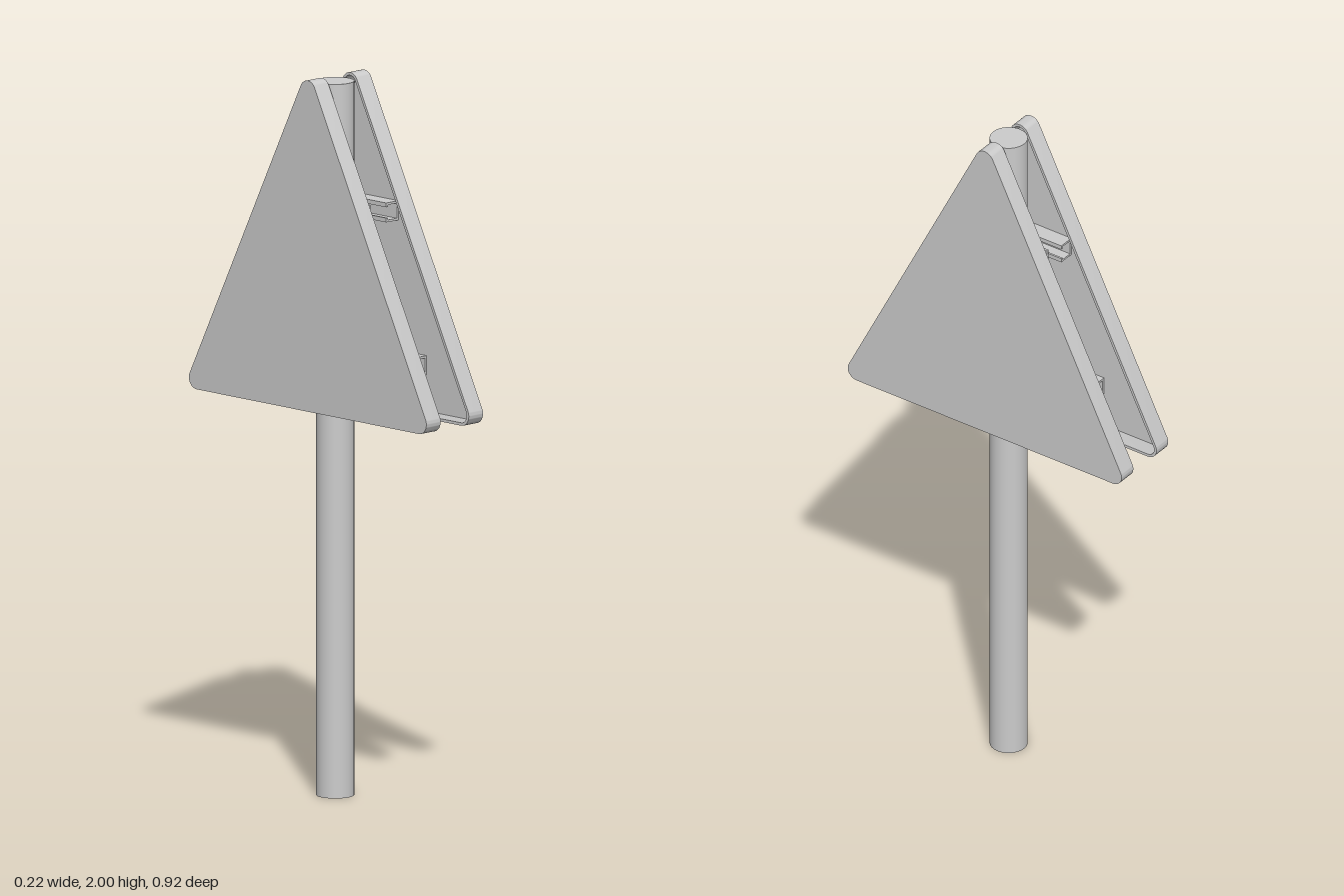
import * as THREE from 'three';
import { toCreasedNormals } from 'three/addons/utils/BufferGeometryUtils.js';

const material = new THREE.MeshStandardMaterial({ color: 0xcccccc, side: THREE.DoubleSide });
const INNER = 0.054, OUTER = 0.1085, WALL = 0.008;
const POLE_X = -0.003;
const BRACKET_LEVELS = [{ y: 1.215, half: 0.25 }, { y: 1.63, half: 0.14 }];

function add(parent, name, geometry, x = 0, y = 0, z = 0) {
  const mesh = new THREE.Mesh(geometry, material);
  mesh.name = name;
  mesh.position.set(x, y, z);
  parent.add(mesh);
  return mesh;
}

function extrude(shape, depth) {
  return toCreasedNormals(
    new THREE.ExtrudeGeometry(shape, { depth, bevelEnabled: false, curveSegments: 10 }), 0.5);
}

// Upright triangle with rounded corners of radius r around fixed centres
function roundedTriangle(r, PathType = THREE.Shape) {
  const slope = Math.atan2(0.43, 0.86);
  const path = new PathType();
  path.absarc(-0.43, 1.11, r, Math.PI - slope, Math.PI * 1.5, false);
  path.absarc(0.43, 1.11, r, -Math.PI / 2, slope, false);
  path.absarc(0, 1.97, r, slope, Math.PI - slope, false);
  path.closePath();
  return path;
}

// One shallow tray facing +x, open towards the pole, with two mounting rails
function createSign(name) {
  const sign = new THREE.Group();
  sign.name = name;

  const rimShape = roundedTriangle(0.03);
  rimShape.holes.push(roundedTriangle(0.03 - WALL, THREE.Path));
  const rim = extrude(rimShape, OUTER - INNER - WALL).rotateY(Math.PI / 2);
  add(sign, 'signRim', rim, INNER);

  const plate = extrude(roundedTriangle(0.03), WALL).rotateY(Math.PI / 2);
  add(sign, 'signPlate', plate, OUTER - WALL);

  // C-section rail: slot opens towards the pole
  const d = OUTER - WALL - INNER, h = 0.027, t = 0.006, lip = 0.012;
  const profile = new THREE.Shape([
    [0, -h], [d, -h], [d, h], [0, h], [0, h - lip], [t, h - lip], [t, h - t],
    [d - t, h - t], [d - t, t - h], [t, t - h], [t, lip - h], [0, lip - h],
  ].map(([x, y]) => new THREE.Vector2(x, y)));
  for (const { y, half } of BRACKET_LEVELS) {
    add(sign, 'mountingRail', extrude(profile, half * 2), INNER, y, -half);
  }
  return sign;
}

// Faceted collar around the pole with bolted flanges front and back
function createClamp(y) {
  const clamp = new THREE.Group();
  clamp.name = 'poleClamp';
  clamp.position.y = y;
  const height = 0.05;

  const outline = new THREE.Shape([
    [-0.01, -0.07], [0.036, -0.056], [0.054, -0.032], [0.054, 0.036],
    [0.022, 0.066], [-0.03, 0.066], [-0.054, 0.04], [-0.054, -0.054],
  ].map(([x, z]) => new THREE.Vector2(x, -z)));
  const hole = new THREE.Path();
  hole.absarc(POLE_X, 0, 0.053, 0, Math.PI * 2, true);
  outline.holes.push(hole);
  const collar = extrude(outline, height).rotateX(-Math.PI / 2);
  add(clamp, 'collar', collar, 0, -height / 2);

  for (const [side, x] of [[-1, -0.009], [1, 0]]) {
    for (const s of [-1, 1]) {
      const flange = add(clamp, 'flange', new THREE.BoxGeometry(0.007, height, 0.056),
        x + s * 0.0075, 0, side * 0.093);
      flange.rotation.y = side * s * 0.04;
    }
    const bolt = new THREE.CylinderGeometry(0.004, 0.004, 0.034, 10).rotateZ(Math.PI / 2);
    add(clamp, 'bolt', bolt, x - 0.002, 0, side * 0.095);
    const head = new THREE.CylinderGeometry(0.008, 0.011, 0.006, 12).rotateZ(-Math.PI / 2);
    add(clamp, 'boltHead', head, x + 0.014, 0, side * 0.095);
  }
  return clamp;
}

export function createModel() {
  const model = new THREE.Group();
  model.name = 'doubleSidedRoadSign';

  add(model, 'pole', new THREE.CylinderGeometry(0.052, 0.052, 1.985, 40), POLE_X, 0.9925, 0);

  // Two signs back to back
  const left = createSign('leftSign');
  const right = createSign('rightSign');
  right.rotation.y = Math.PI;
  model.add(left, right);

  for (const { y } of BRACKET_LEVELS) model.add(createClamp(y));
  return model;
}
